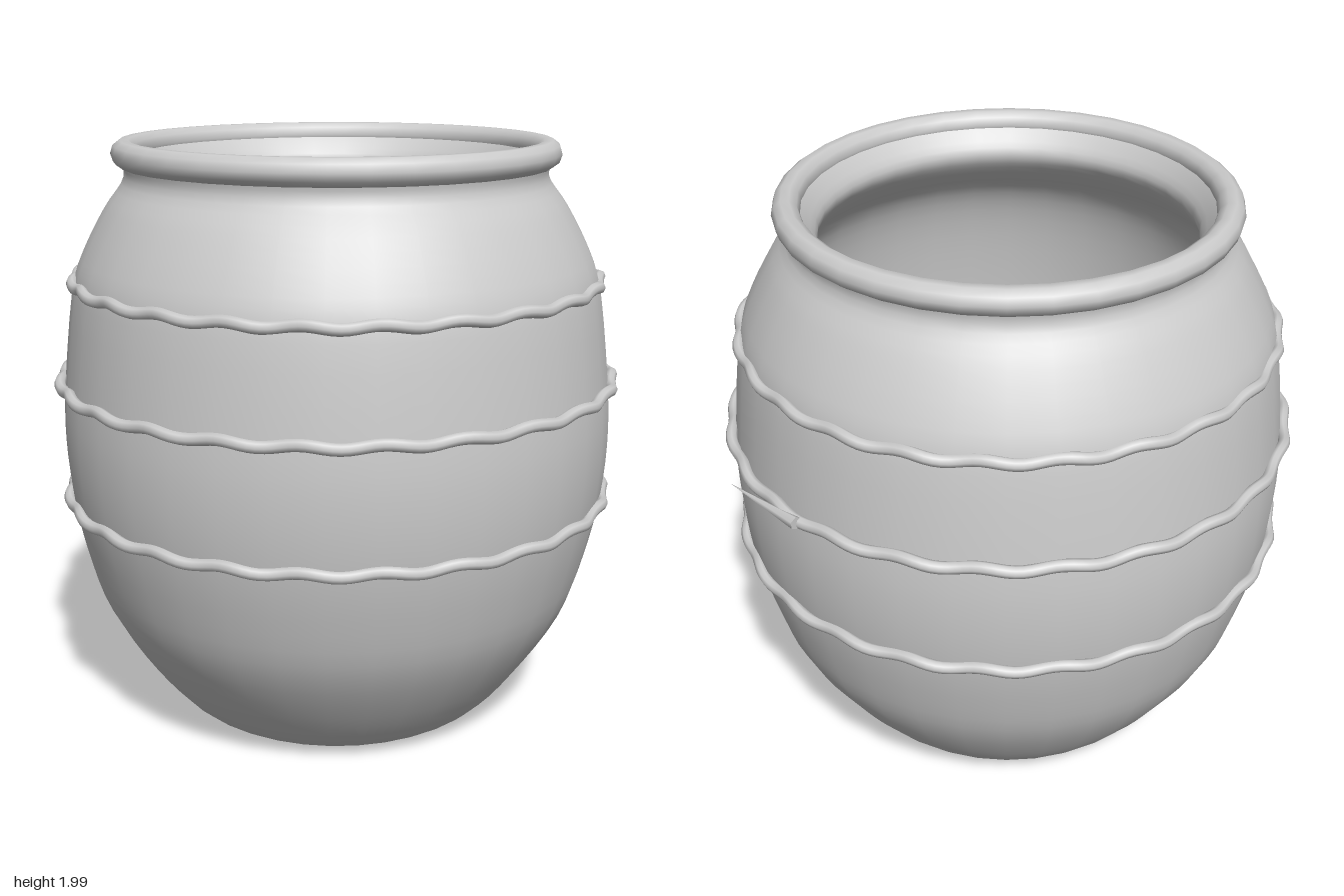
import * as THREE from 'three';

const material = new THREE.MeshStandardMaterial({ color: 0xcccccc, side: THREE.DoubleSide });

function addMesh(parent, name, geometry) {
  const mesh = new THREE.Mesh(geometry, material);
  mesh.name = name;
  parent.add(mesh);
  return mesh;
}

// Smooth surface of revolution through [radius, height] points
function turned(points) {
  const curve = new THREE.SplineCurve(points.map(([r, y]) => new THREE.Vector2(r, y)));
  const profile = curve.getPoints(48);
  profile.forEach((p) => p.set(Math.max(p.x, 0), Math.max(p.y, 0)));
  return new THREE.LatheGeometry(profile, 36);
}

// Horizontal circle with a slight corkscrew wobble
class WavyRing extends THREE.Curve {
  constructor(radius, wobble, waves) {
    super();
    Object.assign(this, { radius, wobble, waves });
  }
  getPoint(t, target = new THREE.Vector3()) {
    const a = t * Math.PI * 2;
    const w = a * this.waves;
    const r = this.radius + this.wobble * Math.cos(w);
    return target.set(r * Math.cos(a), this.wobble * Math.sin(w), r * Math.sin(a));
  }
}

export function createModel() {
  const model = new THREE.Group();
  model.name = 'pot';
  const pot = new THREE.Group();
  pot.name = 'potBody';
  pot.position.x = -0.015;
  model.add(pot);

  // Bulging outer wall, rounded into the underside
  addMesh(pot, 'outerWall', turned([
    [0, 0], [0.25, 0], [0.46, 0.004], [0.56, 0.04], [0.69, 0.19], [0.82, 0.4], [0.885, 0.6],
    [0.925, 0.8], [0.94, 1], [0.93, 1.2], [0.893, 1.5], [0.85, 1.63], [0.775, 1.77],
    [0.712, 1.86], [0.715, 1.92],
  ]));

  // Hollow inside: funnel-shaped mouth, then a rounded bowl
  addMesh(pot, 'innerWall', turned([
    [0.7, 1.975], [0.65, 1.92], [0.612, 1.85], [0.66, 1.77], [0.77, 1.65], [0.83, 1.48],
    [0.87, 1.2], [0.88, 1], [0.865, 0.8], [0.82, 0.6], [0.73, 0.4], [0.57, 0.21],
    [0.32, 0.1], [0, 0.06],
  ]));

  // Rolled lip
  const lip = addMesh(pot, 'lip', new THREE.TorusGeometry(0.705, 0.045, 10, 36));
  lip.rotation.x = Math.PI / 2;
  lip.position.y = 1.945;

  // Wavy rope bands
  for (const [name, radius, y] of [
    ['upperRope', 0.887, 1.527], ['middleRope', 0.943, 1.188], ['lowerRope', 0.93, 0.79],
  ]) {
    const path = new WavyRing(radius, 0.006, 24);
    addMesh(pot, name, new THREE.TubeGeometry(path, 240, 0.02, 8, true)).position.y = y;
  }

  // Loose end of the middle rope, running off at a tangent
  const end = addMesh(pot, 'ropeEnd', new THREE.ConeGeometry(0.022, 0.315, 6));
  end.rotation.set(Math.PI / 2, 0, -0.313);
  end.position.set(0.964, 1.19, -0.15);

  return model;
}
